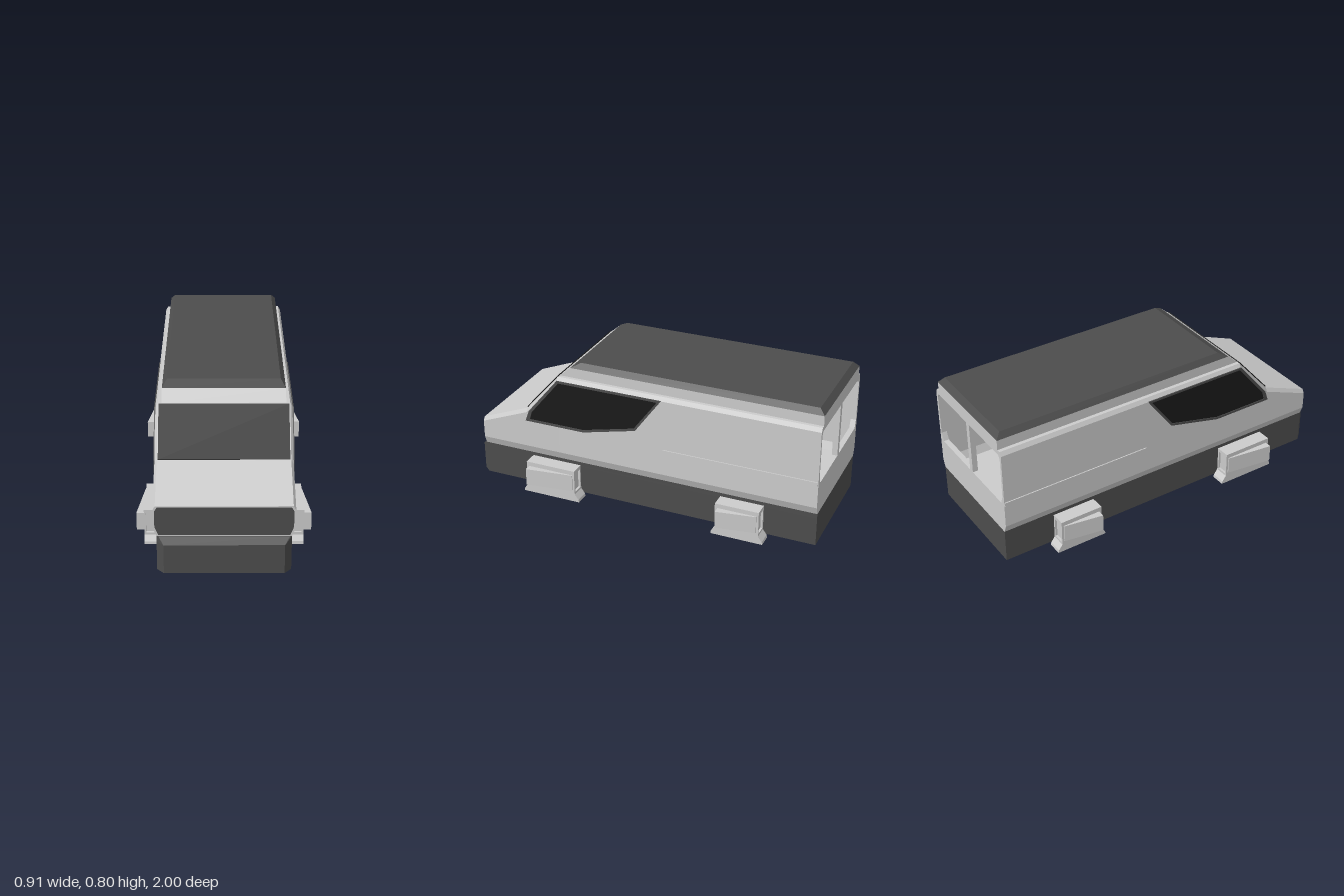
import * as THREE from 'three';

const material = (color) => new THREE.MeshStandardMaterial({ color, flatShading: true, side: THREE.DoubleSide });

// Skin a sequence of equal-length point loops and cap both ends
function loft(rings) {
  const out = [];
  const tri = (a, b, c) => out.push(...a, ...b, ...c);
  const n = rings[0].length;
  for (let i = 0; i < rings.length - 1; i++) {
    for (let j = 0; j < n; j++) {
      const k = (j + 1) % n;
      tri(rings[i][j], rings[i][k], rings[i + 1][k]);
      tri(rings[i][j], rings[i + 1][k], rings[i + 1][j]);
    }
  }
  const first = rings[0], last = rings[rings.length - 1];
  for (let j = 1; j < n - 1; j++) {
    tri(first[0], first[j + 1], first[j]);
    tri(last[0], last[j], last[j + 1]);
  }
  const geometry = new THREE.BufferGeometry();
  geometry.setAttribute('position', new THREE.Float32BufferAttribute(out, 3));
  geometry.computeVertexNormals();
  return geometry;
}

// Rectangular loops lying across y or across z
const rectY = (y, x0, x1, z0, z1) => [[x0, y, z0], [x0, y, z1], [x1, y, z1], [x1, y, z0]];
const rectZ = (z, x0, x1, y0, y1) => [[x0, y0, z], [x1, y0, z], [x1, y1, z], [x0, y1, z]];

// Body cross-section: tucked-in sill, straight sides, chamfered top edge
function section(z, bottom, top, w) {
  const half = [[w - 0.018, bottom], [w, bottom + 0.045], [w, top - 0.022], [w - 0.013, top]];
  return [...half, ...half.map(([x, y]) => [-x, y]).reverse()].map(([x, y]) => [x, y, z]);
}

export function createModel() {
  const model = new THREE.Group();
  const light = material(0xcccccc), dark = material(0x4d4d4d), black = material(0x1a1a1a);

  function add(name, geometry, mat, parent = model) {
    const mesh = new THREE.Mesh(geometry, mat);
    mesh.name = name;
    parent.add(mesh);
    return mesh;
  }
  function box(name, mat, w, h, d, x, y, z, parent) {
    const mesh = add(name, new THREE.BoxGeometry(w, h, d), mat, parent);
    mesh.position.set(x, y, z);
    return mesh;
  }

  // Dark chassis with a chamfered nose
  const baseRing = (y, nose, w, corner) => [
    [-0.335, y, -1], [-0.335, y, 0.96], [-w, y, nose], [w, y, nose], [0.335, y, corner], [0.335, y, -1],
  ];
  add('chassis', loft([
    baseRing(0.02, 1, 0.3, 0.96), baseRing(0.18, 1, 0.3, 0.96), baseRing(0.21, 0.965, 0.325, 0.96),
  ]), dark);

  // Hollow body shell: cabin lining, rear opening, then outer skin
  add('bodyShell', loft([
    section(0.94, 0.225, 0.355, 0.338),
    section(0.67, 0.225, 0.465, 0.338),
    section(0.47, 0.225, 0.695, 0.338),
    section(-0.97, 0.225, 0.695, 0.338),
    section(-0.97, 0.39, 0.69, 0.338),
    section(-1, 0.39, 0.69, 0.338),
    section(-1, 0.21, 0.715, 0.353),
    section(0.48, 0.21, 0.715, 0.353),
    section(0.68, 0.487, 0.487, 0.353).map((p, i) => {
      const s = section(0.68, 0.21, 0.487, 0.353);
      return s[i];
    }),
    section(0.96, 0.21, 0.376, 0.353),
  ]), light);

  box('rearPillar', light, 0.03, 0.31, 0.03, 0, 0.54, -0.985);
  box('ceiling', dark, 0.64, 0.008, 1.4, 0, 0.69, -0.262);

  // Nose grille
  add('grille', loft([section(0.957, 0.217, 0.369, 0.344), section(0.963, 0.217, 0.369, 0.344)]), dark);

  // Raised upper body and roof cap
  add('upperBody', loft([
    rectY(0.713, -0.32, 0.32, -1, 0.48), rectY(0.77, -0.32, 0.32, -1, 0.415),
  ]), light);
  add('roof', loft([
    rectY(0.77, -0.32, 0.32, -1, 0.415), rectY(0.8, -0.295, 0.295, -0.97, 0.36),
  ]), dark);

  // Windshield on the sloped front
  const windshield = box('windshield', black, 0.67, 0.296, 0.04, 0, 0.591, 0.57);
  windshield.rotation.x = -Math.atan2(0.2, 0.228);

  // Side windows: dark frame around black glass, given as (z, y)
  const points = (list) => list.map(([z, y]) => new THREE.Vector2(z, y));
  const outer = points([[0.685, 0.415], [0.662, 0.478], [0.482, 0.695], [-0.13, 0.695], [0.02, 0.49], [0.33, 0.415]]);
  const inner = points([[0.658, 0.428], [0.645, 0.474], [0.472, 0.683], [-0.107, 0.683], [0.028, 0.501], [0.332, 0.428]]);
  const frameShape = new THREE.Shape(outer);
  frameShape.holes.push(new THREE.Path(inner));
  const frameGeometry = new THREE.ExtrudeGeometry(frameShape, { depth: 0.036, bevelEnabled: false });
  const glassGeometry = new THREE.ExtrudeGeometry(new THREE.Shape(inner), { depth: 0.028, bevelEnabled: false });

  for (const side of [1, -1]) {
    const label = side > 0 ? 'left' : 'right';
    const frame = add(label + 'WindowFrame', frameGeometry, dark);
    const glass = add(label + 'WindowGlass', glassGeometry, black);
    frame.rotation.y = glass.rotation.y = -Math.PI / 2;
    frame.position.x = side * 0.34 + 0.018;
    glass.position.x = side * 0.34 + 0.014;
    box(label + 'SideTrim', light, 0.012, 0.022, 0.858, side * 0.353, 0.397, -0.569);

    // Hover pods, front pair longer than rear pair
    for (const [place, z0, z1] of [['Front', 0.365, 0.66], ['Rear', -0.71, -0.465]]) {
      const pod = new THREE.Group();
      pod.name = label + place + 'HoverPod';
      const outside = (z) => rectZ(z, 0.33, 0.415, 0.04, 0.19);
      const recess = (z) => rectZ(z, 0.345, 0.405, 0.058, 0.17);
      add('podHousing', loft([
        recess(z0 + 0.012), recess(z0), outside(z0), outside(z1), recess(z1), recess(z1 - 0.012),
      ]), light, pod);
      add('podSkirt', loft([
        rectY(0.03, 0.347, 0.403, z0 - 0.008, z1 + 0.008),
        rectY(0, 0.347, 0.403, z0 - 0.008, z1 + 0.008),
        rectY(0, 0.335, 0.415, z0 - 0.025, z1 + 0.022),
        rectY(0.015, 0.335, 0.415, z0 - 0.022, z1 + 0.02),
        rectY(0.045, 0.335, 0.415, z0, z1),
      ]), light, pod);
      box('podVent', dark, 0.056, 0.012, z1 - z0 + 0.016, 0.375, 0.023, (z0 + z1) / 2, pod);
      add('podFairing', loft([
        rectZ(z0 + 0.012, 0.41, 0.42, 0.066, 0.165), rectZ(z1 - 0.015, 0.41, 0.455, 0.066, 0.165),
      ]), light, pod);
      pod.scale.x = side;
      model.add(pod);
    }
  }
  return model;
}
